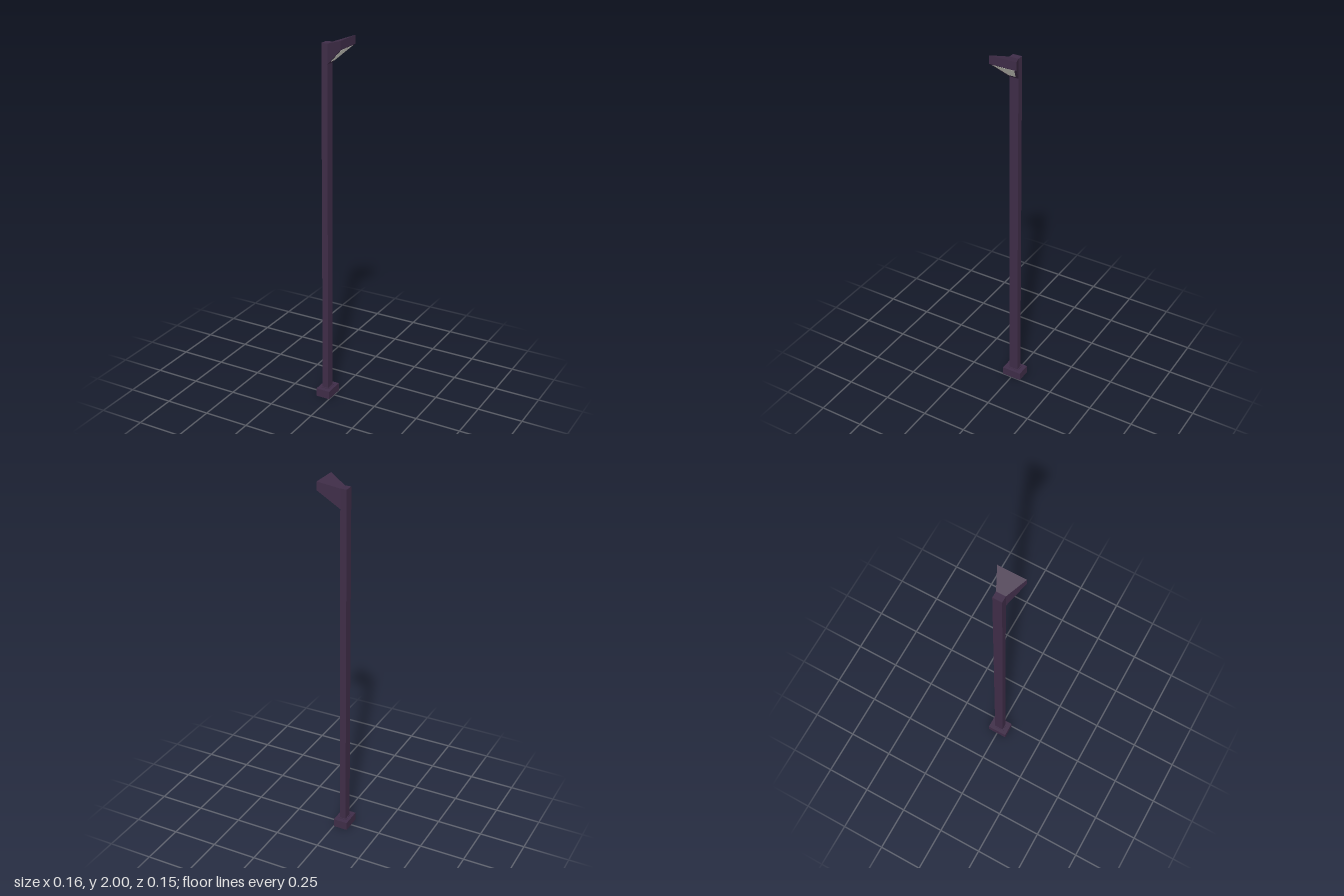
import * as THREE from 'three';

const metal = new THREE.MeshStandardMaterial({ color: 0x3f2d48 });
metal.name = 'dark purple metal';
const glass = new THREE.MeshStandardMaterial({ color: 0xe8e8de });
glass.name = 'pale lamp glass';

// Box given by its x, y and z ranges
function block(name, [x0, x1], [y0, y1], halfZ) {
  const geo = new THREE.BoxGeometry(x1 - x0, y1 - y0, halfZ * 2);
  geo.translate((x0 + x1) / 2, (y0 + y1) / 2, 0);
  const mesh = new THREE.Mesh(geo, metal);
  mesh.name = name;
  return mesh;
}

// Flat-faced solid between two upright end sections { x, bottom, top, halfZ }
function flared(name, inner, outer, material) {
  const geo = new THREE.BoxGeometry(1, 1, 1);
  const p = geo.attributes.position;
  for (let i = 0; i < p.count; i++) {
    const s = p.getX(i) < 0 ? inner : outer;
    p.setXYZ(i, s.x, p.getY(i) < 0 ? s.bottom : s.top, Math.sign(p.getZ(i)) * s.halfZ);
  }
  geo.computeVertexNormals();
  const mesh = new THREE.Mesh(geo, material);
  mesh.name = name;
  return mesh;
}

export function createModel() {
  const group = new THREE.Group();
  group.name = 'streetLight';

  // Foot, collar and pole
  group.add(block('base', [-0.079, 0], [0, 0.046], 0.055));
  group.add(block('collar', [-0.062, -0.018], [0.046, 0.049], 0.031));
  group.add(block('pole', [-0.057, -0.023], [0.046, 1.965], 0.025));

  // Lamp head widening away from the pole
  const inner = { x: -0.023, bottom: 1.861, top: 1.965, halfZ: 0.025 };
  const outer = { x: 0.078, bottom: 1.956, top: 2, halfZ: 0.075 };
  group.add(flared('lampHead', inner, outer, metal));

  // Thin pane on the sloping underside of the head
  const paneSection = (t, border) => {
    const y = THREE.MathUtils.lerp(inner.bottom, outer.bottom, t);
    return {
      x: THREE.MathUtils.lerp(inner.x, outer.x, t),
      bottom: y - 0.001,
      top: y + 0.003,
      halfZ: THREE.MathUtils.lerp(inner.halfZ, outer.halfZ, t) - border,
    };
  };
  group.add(flared('lampPane', paneSection(0.17, 0.014), paneSection(0.96, 0.013), glass));

  return group;
}
